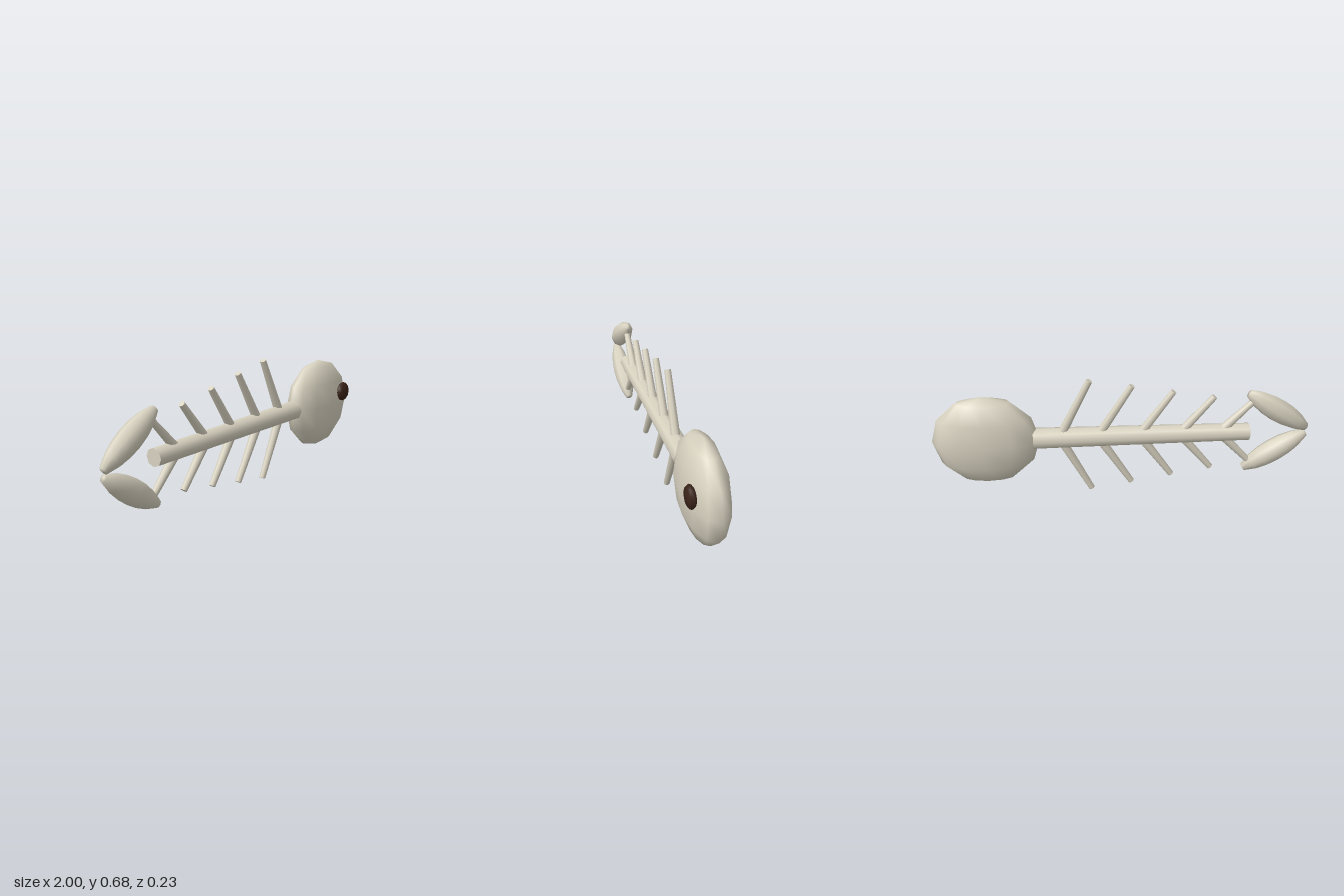
import * as THREE from 'three';

const MID_Y = 0.35, MID_Z = -0.01;

export function createModel() {
  const group = new THREE.Group();
  const bone = new THREE.MeshStandardMaterial({ name: 'bone', color: 0xd8d2c0 });
  const eyeBrown = new THREE.MeshStandardMaterial({ name: 'eyeBrown', color: 0x3a2319 });

  const add = (name, geometry, material, x, y, z) => {
    const mesh = new THREE.Mesh(geometry, material);
    mesh.name = name;
    mesh.position.set(x, y, z);
    group.add(mesh);
    return mesh;
  };

  // Tapered rod between two points in the body plane (y measured from the spine axis)
  const rod = (name, from, to, rFrom, rTo, sides) => {
    const a = new THREE.Vector3(from[0], MID_Y + from[1], MID_Z);
    const b = new THREE.Vector3(to[0], MID_Y + to[1], MID_Z);
    const dir = b.clone().sub(a);
    const c = a.clone().add(b).multiplyScalar(0.5);
    const mesh = add(name, new THREE.CylinderGeometry(rTo, rFrom, dir.length(), sides), bone, c.x, c.y, c.z);
    mesh.quaternion.setFromUnitVectors(new THREE.Vector3(0, 1, 0), dir.normalize());
  };

  // Flattened skull and a single raised eye
  add('skull', new THREE.SphereGeometry(1, 12, 6).scale(0.283, 0.262, 0.106), bone, 0.714, 0.348, MID_Z);
  add('eye', new THREE.SphereGeometry(1, 8, 6).scale(0.058, 0.057, 0.026), eyeBrown, 0.85, 0.407, 0.09);

  // Spine, slightly thicker at the head
  rod('spine', [-0.685, 0], [0.465, 0], 0.047, 0.057, 8);

  // Swept-back ribs: x at the spine surface, tip x, tip height above the axis
  const ribs = [
    [0.303, 0.163, 0.335],
    [0.095, -0.055, 0.298],
    [-0.13, -0.272, 0.258],
    [-0.35, -0.487, 0.22],
    [-0.57, -0.69, 0.18],
  ];
  // Tail lobe profile, blunt at both ends
  const lobe = [
    [0, -0.198], [0.022, -0.196], [0.047, -0.13], [0.06, -0.065], [0.064, 0],
    [0.06, 0.065], [0.047, 0.13], [0.022, 0.193], [0, 0.196],
  ].map(([r, h]) => new THREE.Vector2(r, h));

  for (const side of [1, -1]) {
    const label = side > 0 ? 'upper' : 'lower';
    ribs.forEach(([x, tipX, tipY], i) => {
      // Continue the rib line inward so its root sits inside the spine
      const slope = (tipX - x) / (tipY - 0.05);
      rod(`${label}Rib${i + 1}`, [x - slope * 0.03, side * 0.02], [tipX, side * tipY], 0.025, 0.017, 8);
    });
    const tail = add(`${label}TailLobe`, new THREE.LatheGeometry(lobe, 8).scale(1, 1, 0.87),
      bone, -0.83, MID_Y + side * 0.125, MID_Z);
    tail.rotation.z = side > 0 ? -0.98 : -Math.PI + 0.98;
  }
  return group;
}
